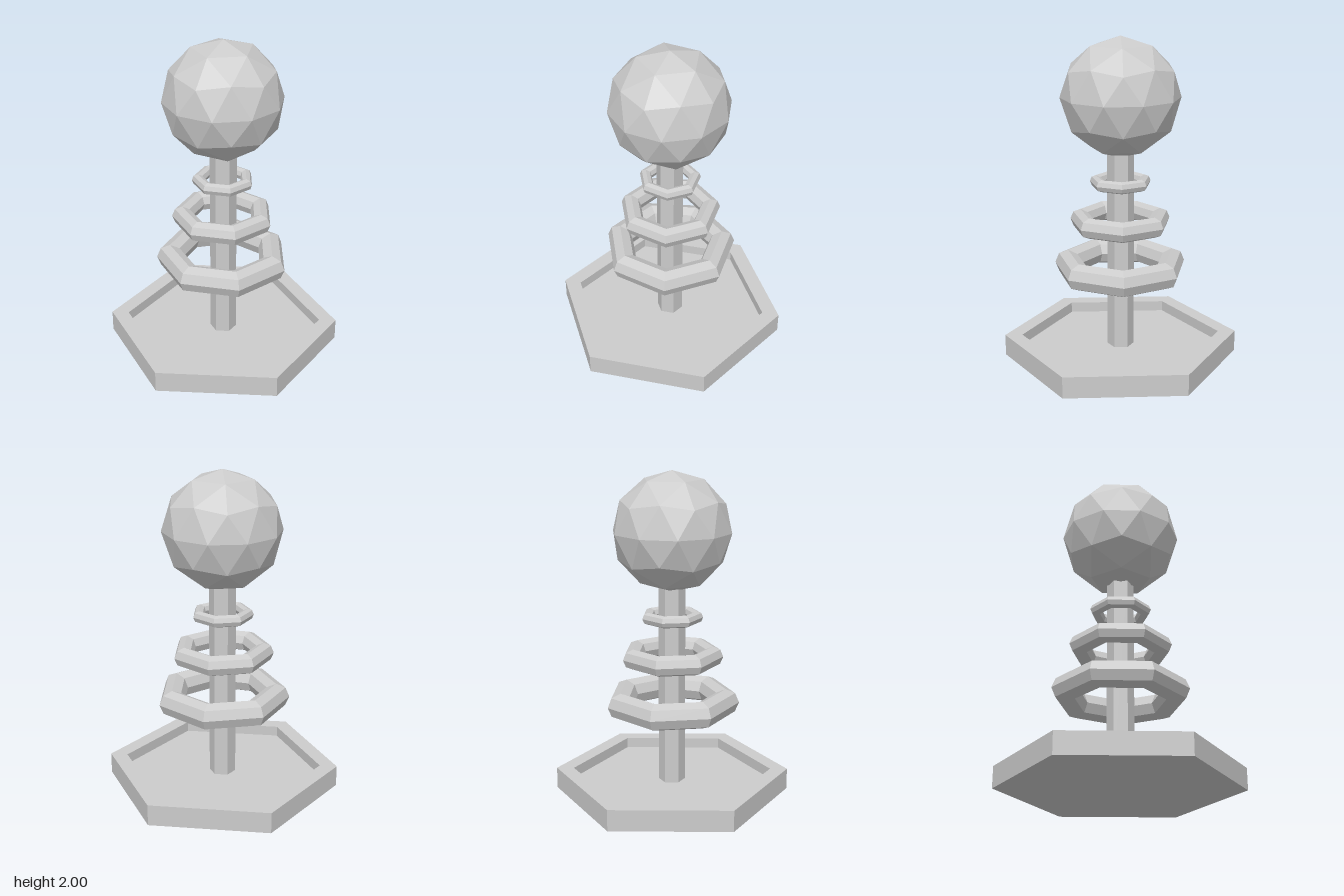
import * as THREE from 'three';

const material = new THREE.MeshStandardMaterial({ color: 0xcccccc, flatShading: true });

export function createModel() {
  const model = new THREE.Group();
  model.name = 'ringedPost';

  const add = (name, geometry, y) => {
    const mesh = new THREE.Mesh(geometry, material);
    mesh.name = name;
    mesh.position.y = y;
    model.add(mesh);
  };

  // Hexagonal tray with a raised rim, corners on the z axis
  const trayProfile = [
    [0, 0], [0.727, 0], [0.727, 0.132], [0.62, 0.132], [0.62, 0.066], [0, 0.066],
  ].map(([r, y]) => new THREE.Vector2(r, y));
  add('tray', new THREE.LatheGeometry(trayProfile, 6), 0);

  // Hexagonal post from the tray floor into the ball
  const postBottom = 0.06, postTop = 1.36;
  add('post', new THREE.CylinderGeometry(0.082, 0.082, postTop - postBottom, 6),
    (postBottom + postTop) / 2);

  // Three seven-sided floating rings, shrinking upward: [name, y, radius, tube]
  for (const [name, y, radius, tube] of [
    ['lowerRing', 0.583, 0.333, 0.083],
    ['middleRing', 0.873, 0.252, 0.063],
    ['upperRing', 1.118, 0.153, 0.037],
  ]) {
    add(name, new THREE.TorusGeometry(radius, tube, 8, 7).rotateX(Math.PI / 2), y);
  }

  // Faceted ball, turned so that a five-sided corner points straight up
  const tilt = Math.atan(2 / (1 + Math.sqrt(5)));
  add('ball', new THREE.IcosahedronGeometry(0.363, 1).rotateZ(-tilt), 1.637);

  return model;
}
